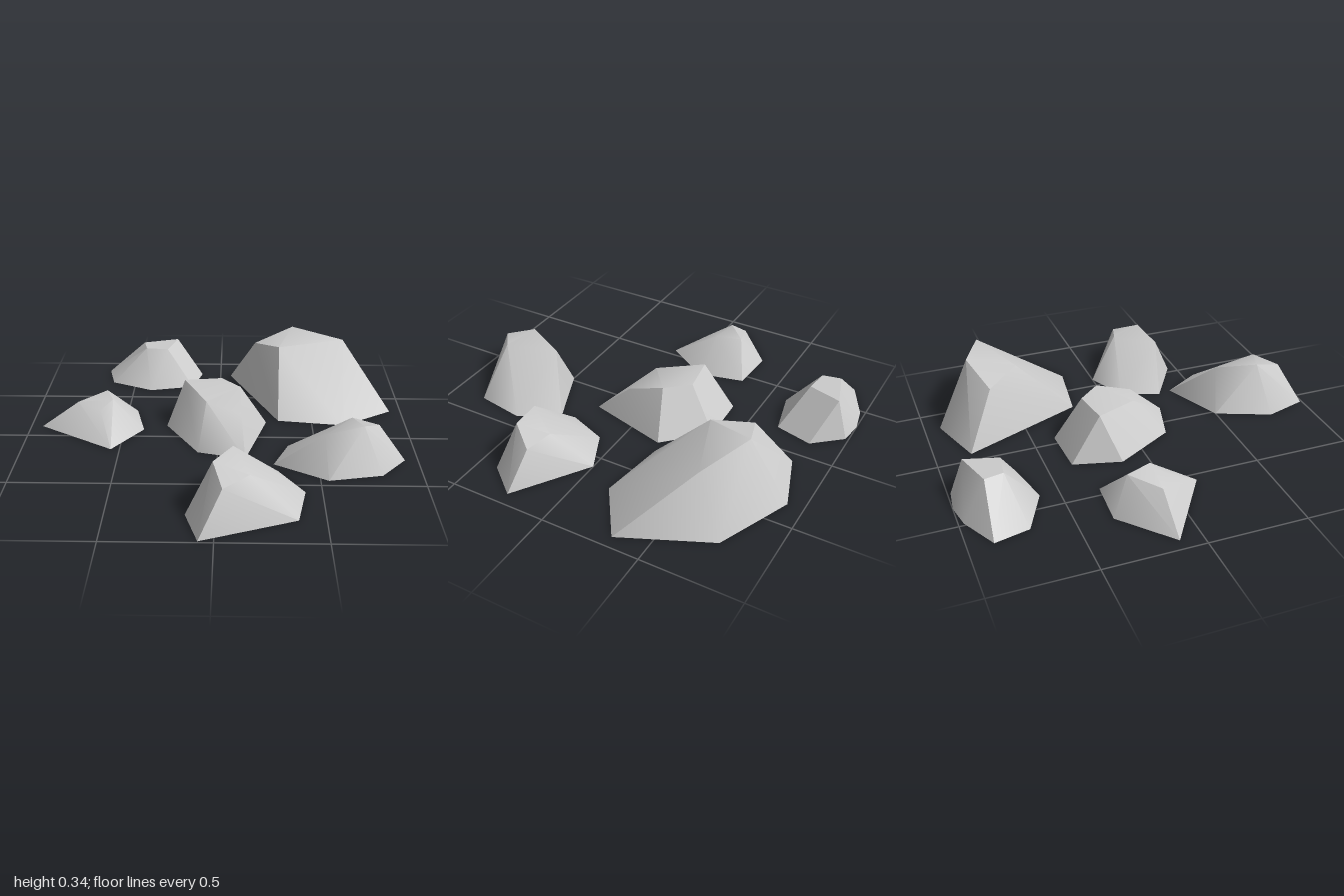
import * as THREE from 'three';
import { ConvexGeometry } from 'three/addons/geometries/ConvexGeometry.js';
import { toCreasedNormals } from 'three/addons/utils/BufferGeometryUtils.js';

const material = new THREE.MeshStandardMaterial({ color: 0xcccccc });

// Each rock: ground outline as [x, z] and crown corners as [x, y, z]
const rocks = {
  largeBackRock: {
    base: [[0.06, -0.82], [0.36, -0.92], [0.74, -0.76], [0.94, -0.33], [0.67, -0.15], [0.32, -0.2]],
    crown: [[0.2, 0.27, -0.67], [0.415, 0.345, -0.74], [0.695, 0.31, -0.625], [0.33, 0.31, -0.5]],
  },
  centreRock: {
    base: [[-0.21, -0.375], [0.055, -0.385], [0.255, -0.18], [0.14, 0.24], [-0.1, 0.175], [-0.275, -0.13]],
    crown: [[-0.18, 0.23, -0.215], [0.015, 0.23, -0.245], [0.115, 0.23, -0.13], [0.12, 0.165, 0.06], [-0.06, 0.205, 0.005]],
  },
  rightRock: {
    base: [[-0.94, -0.11], [-0.69, -0.33], [-0.45, -0.315], [-0.395, -0.08], [-0.545, 0.15]],
    crown: [[-0.74, 0.145, -0.11], [-0.6, 0.16, -0.23], [-0.555, 0.165, -0.1], [-0.615, 0.13, -0.04]],
  },
  smallBackRock: {
    base: [[-0.67, -0.88], [-0.485, -0.975], [-0.36, -1], [-0.235, -0.985], [-0.11, -0.84], [-0.16, -0.65], [-0.4, -0.595], [-0.63, -0.705]],
    crown: [[-0.455, 0.195, -0.86], [-0.26, 0.195, -0.92], [-0.31, 0.195, -0.75], [-0.435, 0.195, -0.765]],
  },
  leftRock: {
    base: [[0.28, 0.295], [0.36, 0.095], [0.57, 0], [0.935, 0.24], [0.805, 0.4], [0.54, 0.455]],
    crown: [[0.52, 0.2, 0.365], [0.71, 0.23, 0.33], [0.8, 0.18, 0.21], [0.67, 0.2, 0.17]],
  },
  frontRock: {
    base: [[-0.135, 0.775], [-0.02, 0.5], [0.3, 0.365], [0.42, 0.565], [0.375, 0.815], [-0.07, 0.99]],
    crown: [[-0.01, 0.25, 0.735], [0.08, 0.225, 0.535], [0.035, 0.2, 0.89], [0.155, 0.22, 0.8]],
  },
};

// Solid stone wrapped around its outline and crown, soft over gentle bends
function makeRock(name, { base, crown }) {
  const points = [
    ...base.map(([x, z]) => new THREE.Vector3(x, 0, z)),
    ...crown.map((p) => new THREE.Vector3(...p)),
  ];
  const mesh = new THREE.Mesh(toCreasedNormals(new ConvexGeometry(points), 0.7), material);
  mesh.name = name;
  return mesh;
}

export function createModel() {
  const group = new THREE.Group();
  group.name = 'rocks';
  for (const [name, rock] of Object.entries(rocks)) group.add(makeRock(name, rock));
  return group;
}
